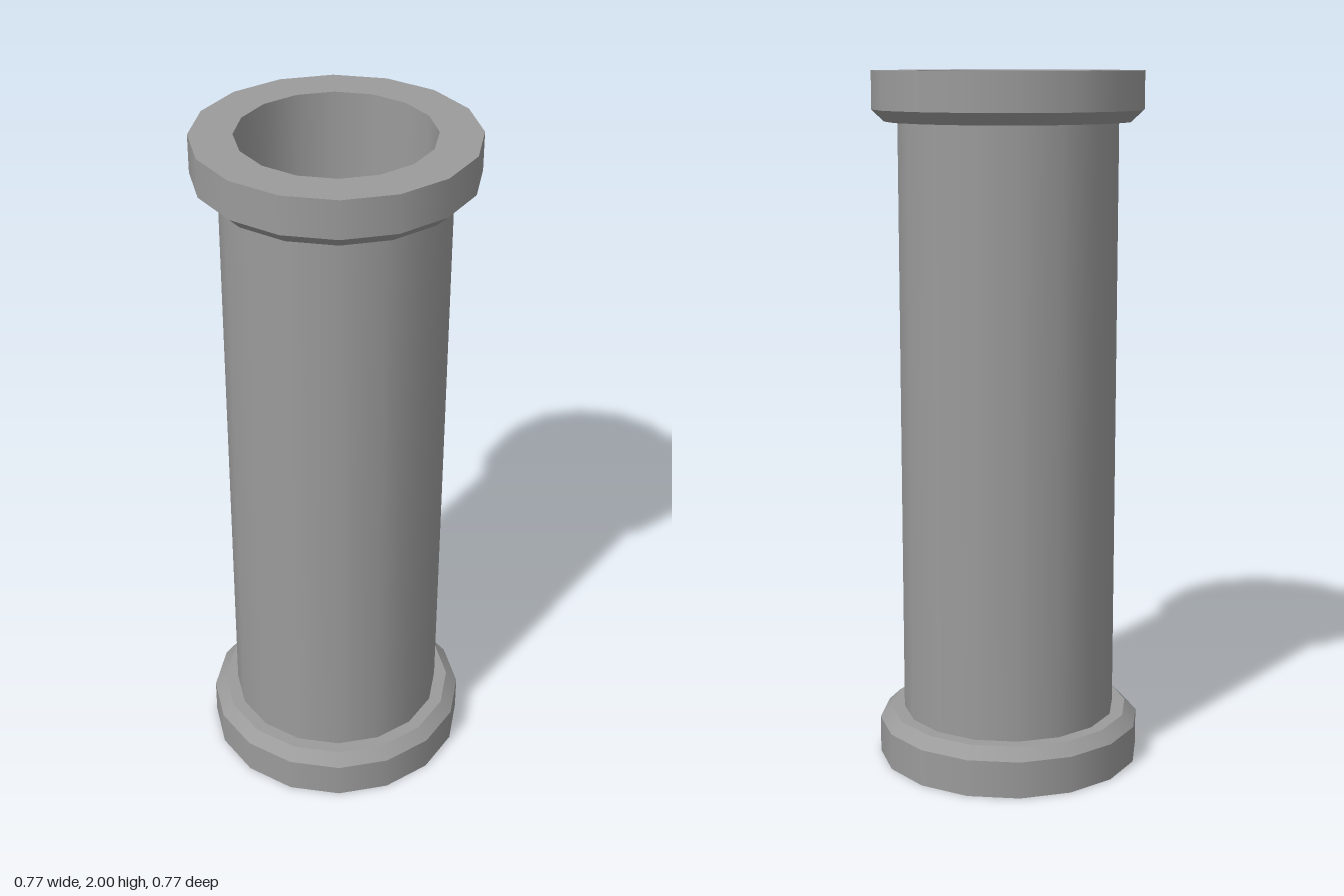
import * as THREE from 'three';
import { mergeGeometries } from 'three/addons/utils/BufferGeometryUtils.js';

const SIDES = 16;
const HEIGHT = 2;
const BORE = 0.267;
const WALL = 0.312;
const RIM = 0.384;
const FLANGE = 0.14;

// Revolve each profile segment on its own: round sides stay smooth, profile corners stay sharp
function revolve(profile) {
  const bands = [];
  for (let i = 0; i < profile.length - 1; i++) {
    const pair = [profile[i], profile[i + 1]].map(([r, y]) => new THREE.Vector2(r, y));
    const band = new THREE.LatheGeometry(pair, SIDES);
    band.normalizeNormals(); // even shading along the band
    bands.push(band);
  }
  return mergeGeometries(bands);
}

export function createModel() {
  const group = new THREE.Group();
  const material = new THREE.MeshStandardMaterial({ color: 0x9b9b9b });
  const add = (name, geometry) => {
    const mesh = new THREE.Mesh(geometry, material);
    mesh.name = name;
    group.add(mesh);
  };

  // Hollow pipe between the two flanges
  add('pipeOuterWall', revolve([[WALL, FLANGE], [WALL, HEIGHT - FLANGE]]));
  add('pipeBore', revolve([[BORE, HEIGHT - FLANGE], [BORE, FLANGE]]));

  // Chamfered flange: bore, end face, rim, chamfer, shoulder
  const flange = [
    [BORE, FLANGE], [BORE, 0], [RIM, 0], [RIM, 0.107], [0.35, FLANGE], [WALL, FLANGE],
  ];
  add('bottomFlange', revolve(flange));

  // Mirrored flange at the top
  add('topFlange', revolve(flange.map(([r, y]) => [r, HEIGHT - y]).reverse()));

  return group;
}
